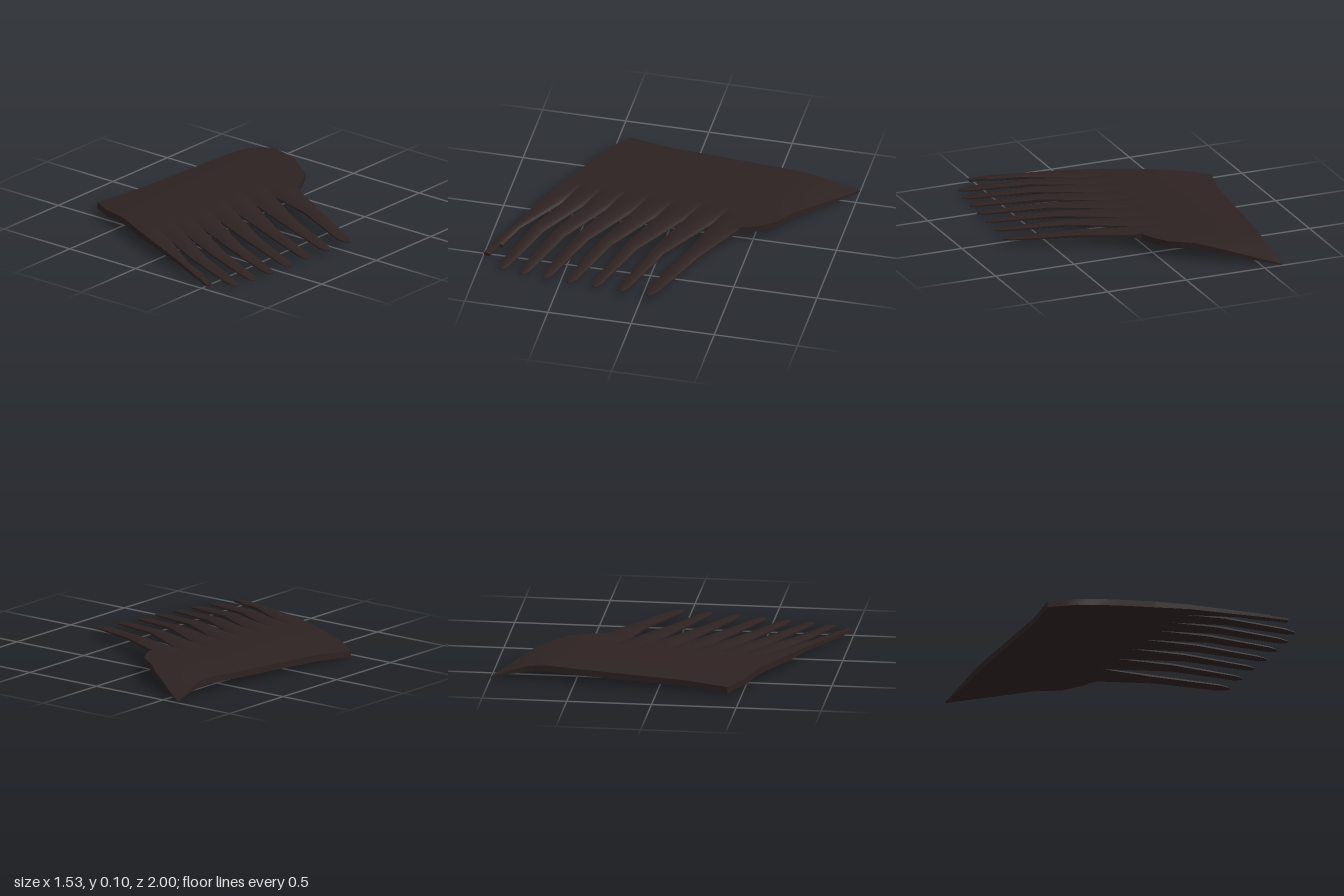
import * as THREE from 'three';
import { toCreasedNormals } from 'three/addons/utils/BufferGeometryUtils.js';

const lerp = THREE.MathUtils.lerp;
const mix = (p, q, t) => [lerp(p[0], q[0], t), lerp(p[1], q[1], t)];

// Gentle arch of the comb across x: [x, height of the middle surface]
const ARCH = [[-0.77, 0.052], [-0.6, 0.071], [-0.44, 0.085], [0.1, 0.083], [0.4, 0.077], [0.53, 0.071], [0.65, 0.06], [0.76, 0.055]];

function height(x, z) {
  let k = 0;
  while (k < ARCH.length - 2 && x > ARCH[k + 1][0]) k++;
  const [a, b] = [ARCH[k], ARCH[k + 1]];
  const arch = lerp(a[1], b[1], (x - a[0]) / (b[0] - a[0]));
  const tilt = (0.018 + 0.03 * Math.max(0, x)) * (z + 0.3);
  const droop = 0.4 * Math.pow(Math.max(0, -0.68 - z), 1.5);
  return arch - tilt - droop;
}

// Closed slab from a grid of [x, z, halfThickness]; rows run along x, columns along z
function slab(grid) {
  const pos = [];
  const at = ([x, z, h], side) => [x, height(x, z) + side * h, z];
  const quad = (a, b, c, d) => pos.push(...a, ...b, ...c, ...a, ...c, ...d);
  const m = grid.length - 1, n = grid[0].length - 1;
  for (let i = 0; i < m; i++) for (let j = 0; j < n; j++) {
    const q = [grid[i][j], grid[i][j + 1], grid[i + 1][j + 1], grid[i + 1][j]];
    quad(...q.map(p => at(p, 1)));
    quad(...q.map(p => at(p, -1)).reverse());
  }
  const rim = [];
  for (let j = 0; j < n; j++) rim.push(grid[0][j]);
  for (let i = 0; i < m; i++) rim.push(grid[i][n]);
  for (let j = n; j > 0; j--) rim.push(grid[m][j]);
  for (let i = m; i > 0; i--) rim.push(grid[i][0]);
  rim.forEach((p, i) => {
    const q = rim[(i + 1) % rim.length];
    quad(at(p, -1), at(q, -1), at(q, 1), at(p, 1));
  });
  const geo = new THREE.BufferGeometry();
  geo.setAttribute('position', new THREE.Float32BufferAttribute(pos, 3));
  return toCreasedNormals(geo, 0.8);
}

export function createModel() {
  const group = new THREE.Group();
  group.name = 'comb';
  const darkBrown = new THREE.MeshStandardMaterial({ color: 0x2e2222 });
  darkBrown.name = 'darkBrown';
  const add = (name, geo) => {
    const mesh = new THREE.Mesh(geo, darkBrown);
    mesh.name = name;
    group.add(mesh);
  };

  // Where grooves start on the body, and where neighbouring teeth part
  const valleyZ = [-0.255, -0.085, 0.08, 0.235, 0.385, 0.525, 0.655];
  const valleys = valleyZ.map((z, i) => [0.02 - i * 0.005, z]);
  const grooves = valleyZ.map((z, i) => [-0.14 - i * 0.008, z - 0.068]);
  const rearRoot = [0.04, -0.43], frontRoot = [-0.2, 0.695];

  // Body: spine edge and tooth-side edge, from rear to front
  const spine = [[-0.61, -1], [-0.597, -0.88], [-0.592, -0.78], [-0.605, -0.68], [-0.618, -0.58], [-0.63, -0.5],
    [-0.643, -0.38], [-0.656, -0.27], [-0.669, -0.16], [-0.682, -0.05], [-0.695, 0.06], [-0.71, 0.18], [-0.742, 0.3], [-0.77, 0.42]];
  const toothSide = [[-0.58, -0.985], [-0.26, -0.78], [-0.18, -0.71], [-0.05, -0.62], [0.02, -0.5], rearRoot, ...grooves, frontRoot];
  const body = [0, 0.12, 0.25, 0.4, 0.55, 0.7, 0.85, 1].map(u => spine.map((p, j) => {
    const [x, z] = mix(p, toothSide[j], u);
    const bulge = j === spine.length - 1 ? 0.022 * Math.max(0, 1 - Math.abs(u - 0.25) / 0.25) : 0;
    const half = 0.019 * Math.min(1, 0.25 + (z + 1) * 3);
    return [x, z + bulge, half];
  }));
  add('body', slab(body));

  // Tooth: stations of [rear point, front point, half thickness, rear edge ratio, front edge ratio]
  const across = [0, 0.2, 0.5, 0.8, 1];
  const tooth = (stations) => slab(stations.map(([a, b, h, ea, eb]) => across.map((t, k) => {
    const ratio = [ea, lerp(ea, 1, 0.75), 1, lerp(eb, 1, 0.75), eb][k];
    return [...mix(a, b, t), h * ratio];
  })));

  // Wide rear tooth
  add('rearTooth', tooth([
    [rearRoot, grooves[0], 0.019, 1, 1],
    [[0.08, -0.408], valleys[0], 0.019, 0.5, 0.15],
    [[0.36, -0.255], [0.3, -0.18], 0.017, 0.35, 0.35],
    [[0.71, -0.1], [0.68, -0.03], 0.009, 0.4, 0.4],
    [[0.762, -0.052], [0.74, -0.028], 0.003, 0.5, 0.5],
  ]));

  // Six slender middle teeth, placed by their tips
  const tips = [[0.745, 0.135], [0.73, 0.3], [0.717, 0.455], [0.7, 0.605], [0.685, 0.745], [0.655, 0.875]];
  tips.forEach(([x, z], i) => {
    const off = (dx, dz) => [x + dx, z + dz];
    add('tooth' + (i + 1), tooth([
      [grooves[i], grooves[i + 1], 0.019, 1, 1],
      [valleys[i], valleys[i + 1], 0.019, 0.15, 0.15],
      [off(-0.385, -0.185), off(-0.425, -0.105), 0.016, 0.35, 0.35],
      [off(-0.035, -0.052), off(-0.075, 0), 0.009, 0.4, 0.4],
      [off(0, -0.018), off(-0.015, 0.004), 0.003, 0.5, 0.5],
    ]));
  });

  // Front tooth along the straight edge, ending in a small stub
  add('frontTooth', tooth([
    [grooves[6], frontRoot, 0.019, 1, 1],
    [valleys[6], [-0.01, 0.775], 0.018, 0.15, 0.8],
    [[0.27, 0.835], [0.25, 0.878], 0.015, 0.4, 0.8],
    [[0.45, 0.903], [0.43, 0.957], 0.012, 0.5, 0.8],
  ]));
  add('frontToothStub', tooth([
    [[0.42, 0.908], [0.41, 0.94], 0.01, 0.8, 0.8],
    [[0.54, 0.957], [0.53, 0.995], 0.009, 0.8, 0.8],
  ]));

  return group;
}
